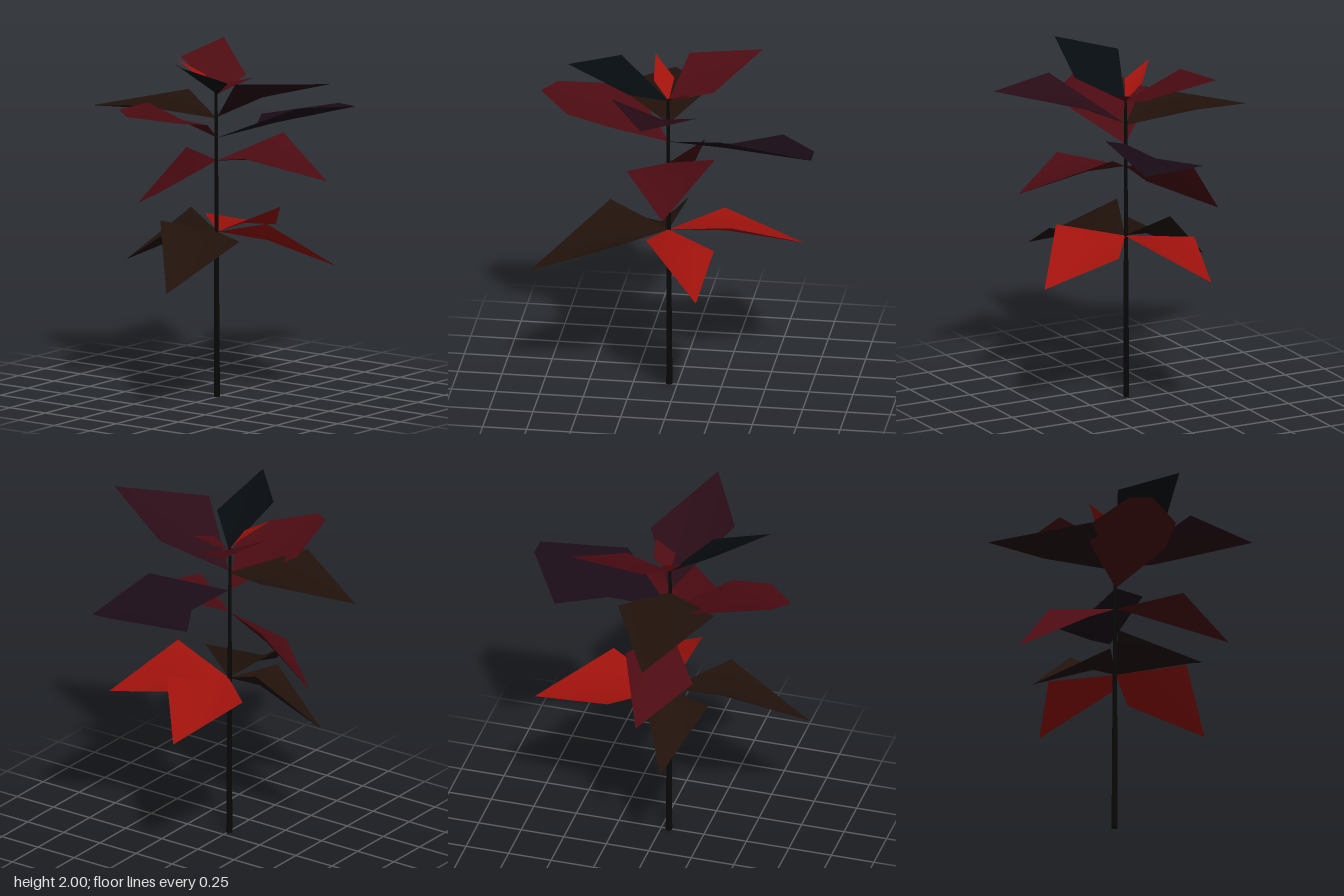
import * as THREE from 'three';

const RED = 0xa0120c, WINE = 0x4c0b12, PLUM = 0x2a0c16, DUSK = 0x1a0c17, BROWN = 0x21120b, NAVY = 0x060b0f, BARK = 0x080807;
const STEM_X = -0.05;
const UP = new THREE.Vector3(0, 1, 0);
const vec = (p) => new THREE.Vector3(...p);

// Thin leaf: a fan of triangles from a midrib point to the rim
function leafMesh(name, color, mid, rim) {
  const index = rim.flatMap((_, i) => [0, 1 + i, 1 + ((i + 1) % rim.length)]);
  const geometry = new THREE.BufferGeometry().setFromPoints([mid, ...rim]);
  geometry.setIndex(index);
  geometry.computeVertexNormals();
  const mesh = new THREE.Mesh(geometry, new THREE.MeshStandardMaterial({ color, side: THREE.DoubleSide }));
  mesh.name = name;
  return mesh;
}

// Kite-shaped leaf: raised shoulders either side of the axis from stem to tip.
// All proportions are fractions of its length; sway moves both shoulders
// sideways and skew pushes one of them ahead of the other.
function pointedLeaf({ name, color, baseY, tip, lift, roll = 0, reach = 0.42, width = 0.305, sway = 0, skew = 0 }) {
  const base = new THREE.Vector3(STEM_X, baseY, 0);
  const axis = vec(tip).sub(base);
  const length = axis.length();
  axis.normalize();
  const across = new THREE.Vector3().crossVectors(UP, axis).normalize().applyAxisAngle(axis, -roll);
  const normal = new THREE.Vector3().crossVectors(axis, across);
  const at = (side, rise) => base.clone()
    .addScaledVector(axis, (reach + side * skew) * length)
    .addScaledVector(across, (sway + side * width) * length)
    .addScaledVector(normal, rise * length);
  return leafMesh(name, color, at(0, lift * 0.3), [base, at(-1, lift), vec(tip), at(1, lift)]);
}

// Broad leaf with a blunt tip and its own outline
function broadLeaf({ name, color, baseY, outline }) {
  const points = outline.map(vec);
  const mid = points[0].clone().lerp(points[points.length - 1], 0.5);
  mid.y -= 0.03;
  return leafMesh(name, color, mid, [new THREE.Vector3(STEM_X, baseY, 0), ...points]);
}

const pointedLeaves = [
  // lowest whorl
  { name: 'lowerLeafRight', color: BROWN, baseY: 0.95, tip: [-0.81, 0.74, 0.21], lift: 0.18, roll: 0.135, reach: 0.36, skew: 0.035 },
  { name: 'lowerLeafBack', color: BROWN, baseY: 0.95, tip: [-0.16, 0.74, -0.56], lift: 0.23, roll: 0.22, reach: 0.29, sway: 0.04 },
  { name: 'lowerLeafLeft', color: RED, baseY: 0.95, tip: [0.7, 0.85, -0.15], lift: 0.135, roll: 0.16, sway: -0.02 },
  { name: 'lowerLeafFront', color: RED, baseY: 0.95, tip: [0.2, 0.79, 0.65], lift: 0.136, roll: 0.35, sway: -0.06, skew: -0.025 },
  // middle pair
  { name: 'middleLeafFront', color: WINE, baseY: 1.36, tip: [0.02, 1.315, 0.72], lift: 0.172, roll: -0.12, reach: 0.39, width: 0.345, sway: 0.057, skew: -0.032 },
  { name: 'middleLeafBack', color: WINE, baseY: 1.36, tip: [-0.02, 1.04, -0.58], lift: 0.115, roll: 0.54, reach: 0.45, width: 0.32 },
  // upper pair
  { name: 'upperLeafBack', color: BROWN, baseY: 1.6, tip: [-0.13, 1.59, -0.82], lift: 0.12, reach: 0.4, width: 0.335, sway: 0.052 },
  { name: 'upperLeafFront', color: PLUM, baseY: 1.61, tip: [-0.09, 1.905, 0.82], lift: 0.109, roll: 0.16, reach: 0.447, width: 0.285, sway: -0.04, skew: -0.037 },
  // crown
  { name: 'crownLeafRight', color: NAVY, baseY: 1.74, tip: [-0.6, 2, 0.155], lift: 0.076, roll: 0.265, reach: 0.465, width: 0.28, sway: -0.04, skew: -0.033 },
  { name: 'crownLeafLeft', color: WINE, baseY: 1.74, tip: [0.44, 1.95, -0.32], lift: 0.045, roll: -0.22, reach: 0.4, sway: 0.07, skew: 0.043 },
  { name: 'budLeafBack', color: RED, baseY: 1.74, tip: [-0.155, 1.935, -0.21], lift: 0.08, width: 0.2 },
  { name: 'budLeafFront', color: WINE, baseY: 1.74, tip: [0.08, 1.835, 0.16], lift: 0.08 },
];

const broadLeaves = [
  { name: 'broadLeafLeft', color: DUSK, baseY: 1.49,
    outline: [[0.29, 1.64, 0.31], [0.81, 1.57, 0.33], [0.81, 1.575, 0.21], [0.58, 1.505, -0.16], [0.31, 1.5, 0]] },
  { name: 'broadLeafRight', color: WINE, baseY: 1.49,
    outline: [[-0.29, 1.695, -0.31], [-0.71, 1.735, -0.2], [-0.79, 1.72, -0.09], [-0.61, 1.68, 0.13], [-0.37, 1.635, 0.17]] },
];

export function createModel() {
  const plant = new THREE.Group();
  plant.name = 'plant';

  // slender tapering stem, leaning very slightly
  const height = 1.75;
  const stem = new THREE.Mesh(
    new THREE.CylinderGeometry(0.009, 0.019, height, 6),
    new THREE.MeshStandardMaterial({ color: BARK })
  );
  stem.name = 'stem';
  stem.position.set(STEM_X, height / 2, -0.006);
  stem.rotation.z = 0.004;
  plant.add(stem);

  // foliage
  const foliage = new THREE.Group();
  foliage.name = 'foliage';
  foliage.add(...pointedLeaves.map(pointedLeaf), ...broadLeaves.map(broadLeaf));
  plant.add(foliage);

  return plant;
}
